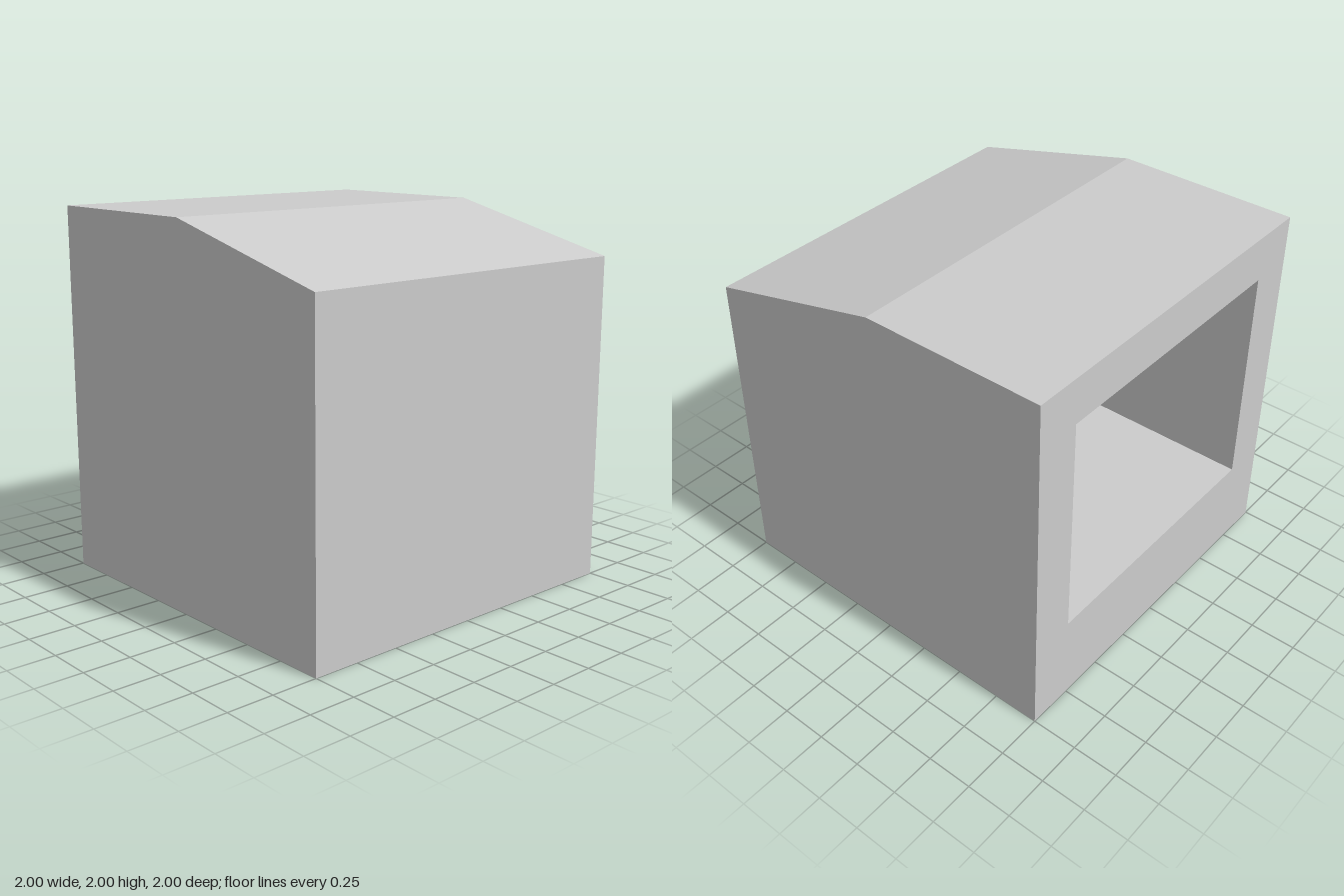
import * as THREE from 'three';
import { mergeGeometries } from 'three/addons/utils/BufferGeometryUtils.js';

// Prism along z from a convex counter-clockwise profile, left open between its last and first point.
function openPrism(profile, halfDepth, inward = false) {
  const positions = [];
  const tri = (a, b, c) => {
    for (const p of inward ? [a, c, b] : [a, b, c]) positions.push(...p);
  };
  const near = profile.map(([x, y]) => [x, y, halfDepth]);
  const far = profile.map(([x, y]) => [x, y, -halfDepth]);
  for (let i = 0; i < profile.length - 1; i++) {
    tri(far[i], far[i + 1], near[i + 1]);
    tri(far[i], near[i + 1], near[i]);
    if (i > 0) {
      tri(near[0], near[i], near[i + 1]);
      tri(far[0], far[i + 1], far[i]);
    }
  }
  const geometry = new THREE.BufferGeometry();
  geometry.setAttribute('position', new THREE.Float32BufferAttribute(positions, 3));
  geometry.computeVertexNormals();
  return geometry;
}

const rectangle = (w, y0, y1) => [[-w, y0], [w, y0], [w, y1], [-w, y1]].map(([x, y]) => new THREE.Vector2(x, y));

export function createModel() {
  const group = new THREE.Group();
  const material = new THREE.MeshStandardMaterial({ color: 0xcccccc });
  const add = (name, geometry) => {
    const mesh = new THREE.Mesh(geometry, material);
    mesh.name = name;
    group.add(mesh);
  };

  // Block with a half-sloped roof, open on the -x side
  const block = openPrism([[-1, 0], [1, 0], [1, 1.75], [0, 2], [-1, 2]], 1);

  // Frame closing the -x side around the square-cornered opening
  const frame = new THREE.Shape(rectangle(1, 0, 2));
  frame.holes.push(new THREE.Path(rectangle(0.75, 0.5, 1.75)));
  const frameGeometry = new THREE.ShapeGeometry(frame).toNonIndexed();
  frameGeometry.deleteAttribute('uv');
  frameGeometry.rotateY(-Math.PI / 2).translate(-1, 0, 0);

  // Recess reaching in to the middle of the block
  const recess = openPrism([[-1, 0.5], [0, 0.5], [0, 1.75], [-1, 1.75]], 0.75, true);

  add('body', mergeGeometries([block, frameGeometry]));
  add('recess', recess);
  return group;
}
